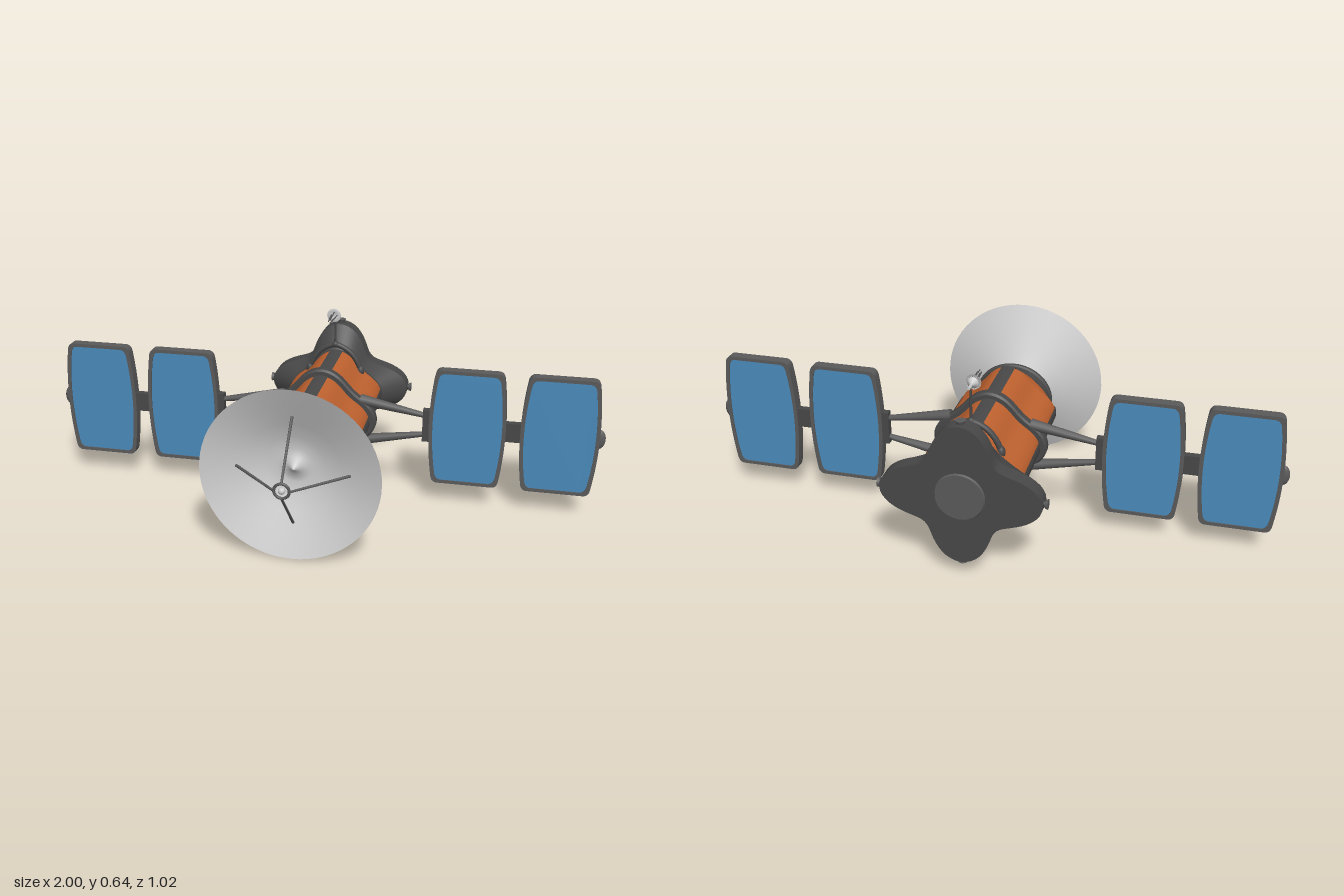
import * as THREE from 'three';

const mat = (color) => new THREE.MeshStandardMaterial({ color, side: THREE.DoubleSide });
const GREY = mat(0xcccccc), DARK = mat(0x484848), FRAME = mat(0x5a5a5a), ORANGE = mat(0xc0622f), BLUE = mat(0x4a8abb);
const AXIS_Y = 0.3, WING_Z = -0.114, X_SCALE = 1.08;
const V = (x, y, z) => new THREE.Vector3(x, y, z);

function add(parent, name, geometry, material, x = 0, y = 0, z = 0) {
  const mesh = new THREE.Mesh(geometry, material);
  mesh.name = name;
  mesh.position.set(x, y, z);
  parent.add(mesh);
  return mesh;
}

// Skin over four-lobed sections [z, radius at lobe, radius at valley], front to back.
// Each band has its own vertices, so section edges stay sharp.
function lobedLoft(sections, from = 0, to = Math.PI * 2, steps = 96) {
  const pos = [], idx = [], full = to - from > 6;
  const cols = full ? steps : steps + 1;
  for (let s = 0; s < sections.length - 1; s++) {
    const base = pos.length / 3;
    for (const [z, tip, valley] of [sections[s], sections[s + 1]]) {
      for (let j = 0; j < cols; j++) {
        const a = from + (to - from) * j / steps;
        const r = valley + (tip - valley) * (0.5 + 0.5 * Math.cos(4 * a));
        pos.push(r * Math.cos(a) * X_SCALE, r * Math.sin(a), z);
      }
    }
    for (let j = 0; j < steps; j++) {
      const k = (j + 1) % cols;
      const f0 = base + j, f1 = base + k, b0 = base + cols + j, b1 = base + cols + k;
      idx.push(b0, b1, f0, b1, f1, f0);
    }
  }
  const g = new THREE.BufferGeometry();
  g.setAttribute('position', new THREE.Float32BufferAttribute(pos, 3));
  g.setIndex(idx);
  g.computeVertexNormals();
  return g;
}

// Tapered round bar between two points
function bar(parent, name, a, b, ra, rb, material, sides = 12) {
  const mesh = add(parent, name, new THREE.CylinderGeometry(rb, ra, a.distanceTo(b), sides), material);
  mesh.position.copy(a).add(b).multiplyScalar(0.5);
  mesh.quaternion.setFromUnitVectors(V(0, 1, 0), b.clone().sub(a).normalize());
  return mesh;
}

// Lathe turned about the z axis from [radius, z] points
function latheZ(points, segments = 64) {
  return new THREE.LatheGeometry(points.map(([r, z]) => new THREE.Vector2(r, z)), segments).rotateX(Math.PI / 2);
}

// Barrel-sided panel outline with softened corners
function panelOutline(w, h, path) {
  const c = 0.025, t = w - 0.014;
  path.moveTo(-t + c, -h);
  path.lineTo(t - c, -h);
  path.quadraticCurveTo(t - 0.004, -h, t, -h + c);
  path.quadraticCurveTo(w + 0.014, 0, t, h - c);
  path.quadraticCurveTo(t - 0.004, h, t - c, h);
  path.lineTo(-t + c, h);
  path.quadraticCurveTo(-t + 0.004, h, -t, h - c);
  path.quadraticCurveTo(-w - 0.014, 0, -t, -h + c);
  path.quadraticCurveTo(-t + 0.004, -h, -t + c, -h);
  return path;
}

function buildWing(side) {
  const wing = new THREE.Group();
  wing.name = side > 0 ? 'leftWing' : 'rightWing';
  wing.position.z = WING_Z;
  const frame = panelOutline(0.135, 0.216, new THREE.Shape());
  frame.holes.push(panelOutline(0.122, 0.204, new THREE.Path()));
  const extrude = (shape, depth) => new THREE.ExtrudeGeometry(shape, { depth, bevelEnabled: false, curveSegments: 16 }).translate(0, 0, -depth / 2);
  for (const x of [0.525, 0.845]) {
    add(wing, 'panelFrame', extrude(frame, 0.036), FRAME, side * x);
    add(wing, 'solarPanel', extrude(panelOutline(0.123, 0.205, new THREE.Shape()), 0.029), BLUE, side * x);
  }
  add(wing, 'panelJoint', new THREE.BoxGeometry(0.07, 0.07, 0.024), DARK, side * 0.685);
  add(wing, 'armBracket', new THREE.BoxGeometry(0.03, 0.12, 0.026), DARK, side * 0.382);
  add(wing, 'endKnob', new THREE.SphereGeometry(1, 20, 12), FRAME, side * 0.978).scale.set(0.022, 0.036, 0.012);
  for (const s of [-1, 1]) {
    bar(wing, 'wingArm', V(side * 0.14, s * 0.078, 0), V(side * 0.385, s * 0.034, 0), 0.02, 0.009, FRAME);
  }
  return wing;
}

function buildDish() {
  const dish = new THREE.Group();
  dish.name = 'mainDish';
  // neck and outer bowl
  add(dish, 'dishShell', latheZ([[0.13, 0.232], [0.105, 0.248], [0.08, 0.266], [0.068, 0.28], [0.076, 0.291], [0.105, 0.307], [0.16, 0.334], [0.23, 0.367], [0.3, 0.4]]), GREY);
  // inner bowl with a small central cone
  add(dish, 'dishBowl', latheZ([[0.3, 0.4], [0.23, 0.37], [0.16, 0.338], [0.105, 0.315], [0.06, 0.306], [0.03, 0.312], [0.012, 0.332], [0, 0.345]]), GREY);
  add(dish, 'feedRing', new THREE.TorusGeometry(0.025, 0.005, 8, 32), FRAME, 0, 0, 0.5);
  add(dish, 'feedHub', new THREE.SphereGeometry(0.012, 16, 10), GREY, 0, 0, 0.498);
  for (let i = 0; i < 4; i++) {
    const c = Math.cos(i * Math.PI / 2), s = Math.sin(i * Math.PI / 2);
    bar(dish, 'feedStrut', V(c * 0.19, s * 0.19, 0.35), V(c * 0.025, s * 0.025, 0.502), 0.005, 0.004, FRAME, 8);
  }
  return dish;
}

function buildAntenna() {
  const antenna = new THREE.Group();
  antenna.name = 'antenna';
  antenna.position.z = -0.355;
  for (const s of [-1, 1]) {
    // yoke leg gripping the hull
    const leg = new THREE.QuadraticBezierCurve3(V(s * 0.1, 0.09, 0), V(s * 0.075, 0.18, 0), V(0, 0.195, 0));
    add(antenna, 'yokeLeg', new THREE.TubeGeometry(leg, 20, 0.01, 10), DARK);
    add(antenna, 'yokeFoot', new THREE.SphereGeometry(1, 16, 12), DARK, s * 0.098, 0.095, 0).scale.set(0.014, 0.022, 0.016);
  }
  add(antenna, 'yokeKnob', new THREE.SphereGeometry(0.013, 16, 10), DARK, 0, 0.195, 0);
  bar(antenna, 'mast', V(0, 0.19, 0), V(0, 0.32, 0), 0.005, 0.003, DARK);
  bar(antenna, 'boom', V(0, 0.317, -0.022), V(0, 0.317, 0.03), 0.005, 0.005, GREY);
  add(antenna, 'smallDish', latheZ([[0.006, 0.005], [0.01, 0.014], [0.017, 0.024], [0.026, 0.03], [0.012, 0.026], [0, 0.025]], 24), GREY, 0, 0.317, 0);
  for (let i = 0; i < 4; i++) {
    const c = Math.cos(i * Math.PI / 2), s = Math.sin(i * Math.PI / 2);
    bar(antenna, 'smallFeedStrut', V(c * 0.011, 0.317 + s * 0.011, 0.026), V(c * 0.006, 0.317 + s * 0.006, 0.108), 0.002, 0.002, FRAME, 6);
  }
  return antenna;
}

export function createModel() {
  const model = new THREE.Group();
  model.name = 'spaceProbe';
  const probe = new THREE.Group();
  probe.name = 'probe';
  probe.position.y = AXIS_Y;
  model.add(probe);

  // hull and its four lengthwise ribs
  add(probe, 'hull', lobedLoft([[0.195, 0.128, 0.12], [0.14, 0.162, 0.131], [-0.385, 0.162, 0.131]]), ORANGE);
  for (let i = 0; i < 4; i++) {
    const a = i * Math.PI / 2;
    add(probe, 'hullRib', lobedLoft([[0.197, 0.13, 0.122], [0.14, 0.165, 0.134], [-0.385, 0.165, 0.134]], a - 0.14, a + 0.14, 8), DARK);
  }

  // front collar
  add(probe, 'collar', lobedLoft([[0.238, 0, 0], [0.238, 0.128, 0.128], [0.234, 0.133, 0.133], [0.224, 0.133, 0.133], [0.22, 0.127, 0.126], [0.19, 0.132, 0.124], [0.19, 0.1, 0.1]]), DARK);

  // band carrying the wings
  add(probe, 'wingBand', lobedLoft([[-0.096, 0.15, 0.12], [-0.096, 0.178, 0.145], [-0.102, 0.185, 0.151], [-0.126, 0.185, 0.151], [-0.132, 0.178, 0.145], [-0.132, 0.15, 0.12]]), DARK);

  // flared four-pointed tail with a knob on each point
  add(probe, 'tail', lobedLoft([[-0.378, 0.15, 0.12], [-0.378, 0.166, 0.135], [-0.444, 0.246, 0.155], [-0.5, 0.246, 0.155], [-0.5, 0, 0]]), DARK);
  for (let i = 0; i < 4; i++) {
    const a = i * Math.PI / 2, dir = V(Math.cos(a), Math.sin(a), 0);
    const at = (r) => V(dir.x * r * X_SCALE, dir.y * r, -0.474);
    bar(probe, 'tailKnobStem', at(0.24), at(0.252), 0.011, 0.011, DARK, 20);
    bar(probe, 'tailKnob', at(0.25), at(0.258), 0.014, 0.017, FRAME, 20);
  }
  add(probe, 'tailPlate', new THREE.CylinderGeometry(0.088, 0.08, 0.014, 48).rotateX(Math.PI / 2), FRAME, 0, 0, -0.499);

  probe.add(buildDish(), buildAntenna(), buildWing(1), buildWing(-1));
  return model;
}
